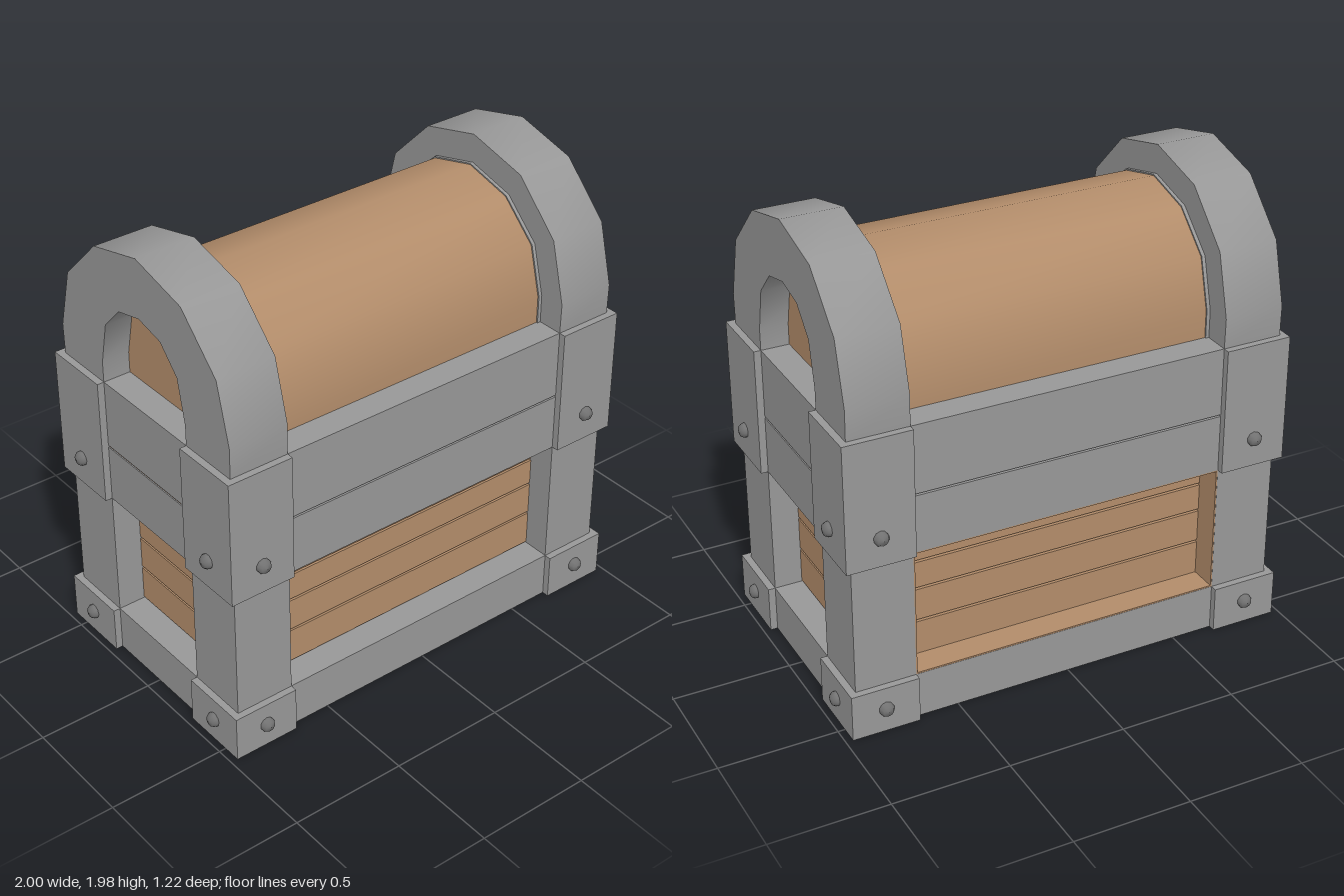
import * as THREE from 'three';
import { toCreasedNormals } from 'three/addons/utils/BufferGeometryUtils.js';

const stone = new THREE.MeshStandardMaterial({ color: 0x979797 });
stone.name = 'grey metal';
const wood = new THREE.MeshStandardMaterial({ color: 0xb28c6a });
wood.name = 'brown wood';
const dark = new THREE.MeshStandardMaterial({ color: 0x737373 });
dark.name = 'dark rivet metal';

export function createModel() {
  const model = new THREE.Group();
  model.name = 'chest';

  const add = (name, geometry, material) => {
    const mesh = new THREE.Mesh(geometry, material);
    mesh.name = name;
    model.add(mesh);
    return mesh;
  };
  // Box given by its limits on each axis
  const box = (name, material, [x0, x1], [y0, y1], [z0, z1]) =>
    add(name, new THREE.BoxGeometry(x1 - x0, y1 - y0, z1 - z0), material)
      .position.set((x0 + x1) / 2, (y0 + y1) / 2, (z0 + z1) / 2);
  const sym = (v) => [-v, v];
  const side = (s, a, b) => (s > 0 ? [a, b] : [-b, -a]);

  // Body: base frame, planked walls and the two rims
  box('baseFrame', stone, sym(0.94), [0, 0.2], sym(0.55));
  box('innerWall', wood, sym(0.805), [0.2, 0.76], sym(0.415));
  const seams = [0.2, 0.36, 0.51, 0.635, 0.76];
  for (let i = 0; i < 4; i++) {
    box('plank', wood, sym(0.82), [seams[i] + 0.005, seams[i + 1] - 0.005], sym(0.43));
  }
  box('bodyRim', stone, sym(0.94), [0.76, 1.008], sym(0.55));
  box('rimSeam', wood, sym(0.935), [1.008, 1.016], sym(0.53));
  box('lidRim', stone, sym(0.94), [1.016, 1.31], sym(0.55));

  // Corner posts, brackets and rivets
  const rivet = new THREE.LatheGeometry(
    [[0.031, -0.005], [0.031, 0.01], [0.022, 0.024], [0, 0.03]].map((p) => new THREE.Vector2(...p)), 10);
  const addRivet = (x, y, z, direction) => {
    const mesh = add('rivet', rivet, dark);
    mesh.position.set(x, y, z);
    mesh.quaternion.setFromUnitVectors(new THREE.Vector3(0, 1, 0), direction);
  };
  for (const sx of [-1, 1]) {
    for (const sz of [-1, 1]) {
      box('cornerPost', stone, side(sx, 0.68, 0.94), [0.2, 0.76], side(sz, 0.275, 0.55));
      for (const [name, y] of [['footBracket', [0, 0.2]], ['bodyBracket', [0.76, 1.01]], ['lidBracket', [1.01, 1.31]]]) {
        box(name, stone, side(sx, 0.68, 0.97), y, side(sz, 0.275, 0.58));
      }
      for (const y of [0.105, 0.885]) {
        addRivet(sx * 0.825, y, sz * 0.58, new THREE.Vector3(0, 0, sz));
        addRivet(sx * 0.97, y, sz * 0.43, new THREE.Vector3(sx, 0, 0));
      }
    }
    // Wooden lining on the post sides of the back recess
    box('backLiningSide', wood, side(sx, 0.674, 0.682), [0.2, 0.76], [-0.549, -0.42]);
  }
  // Wooden lining above and below the back recess
  box('backLiningSill', wood, sym(0.68), [0.198, 0.206], [-0.549, -0.42]);
  box('backLiningTop', wood, sym(0.68), [0.754, 0.762], [-0.549, -0.42]);

  // Lid profiles: half outlines [z, y], mirrored into a full arch
  const outer = [[0.55, 1.3], [0.553, 1.44], [0.485, 1.7], [0.28, 1.905], [0, 1.975]];
  const inner = [[0.275, 1.3], [0.275, 1.4], [0.235, 1.585], [0.135, 1.69], [0, 1.722]];
  const barrel = [[0.43, 1.3], [0.43, 1.43], [0.375, 1.64], [0.215, 1.79], [0, 1.845]];
  const arch = (half) => [...half, ...half.slice(0, -1).reverse().map(([z, y]) => [-z, y])];
  const extrudeX = (points, [x0, x1]) => {
    const shape = new THREE.Shape(points.map((p) => new THREE.Vector2(...p)));
    const geometry = new THREE.ExtrudeGeometry(shape, { depth: x1 - x0, bevelEnabled: false });
    geometry.rotateY(Math.PI / 2).translate(x0, 0, 0);
    return toCreasedNormals(geometry, 0.7);
  };

  add('lidBarrel', extrudeX(arch(barrel), sym(0.82)), wood);
  const collar = barrel.map(([z, y]) => [z * 1.015, 1.3 + (y - 1.3) * 1.01]);
  for (const sx of [-1, 1]) {
    add('lidArch', extrudeX([...arch(outer), ...arch(inner).reverse()], side(sx, 0.68, 0.94)), stone);
    add('lidCollar', extrudeX(arch(collar), side(sx, 0.665, 0.7)), stone);
  }
  return model;
}
